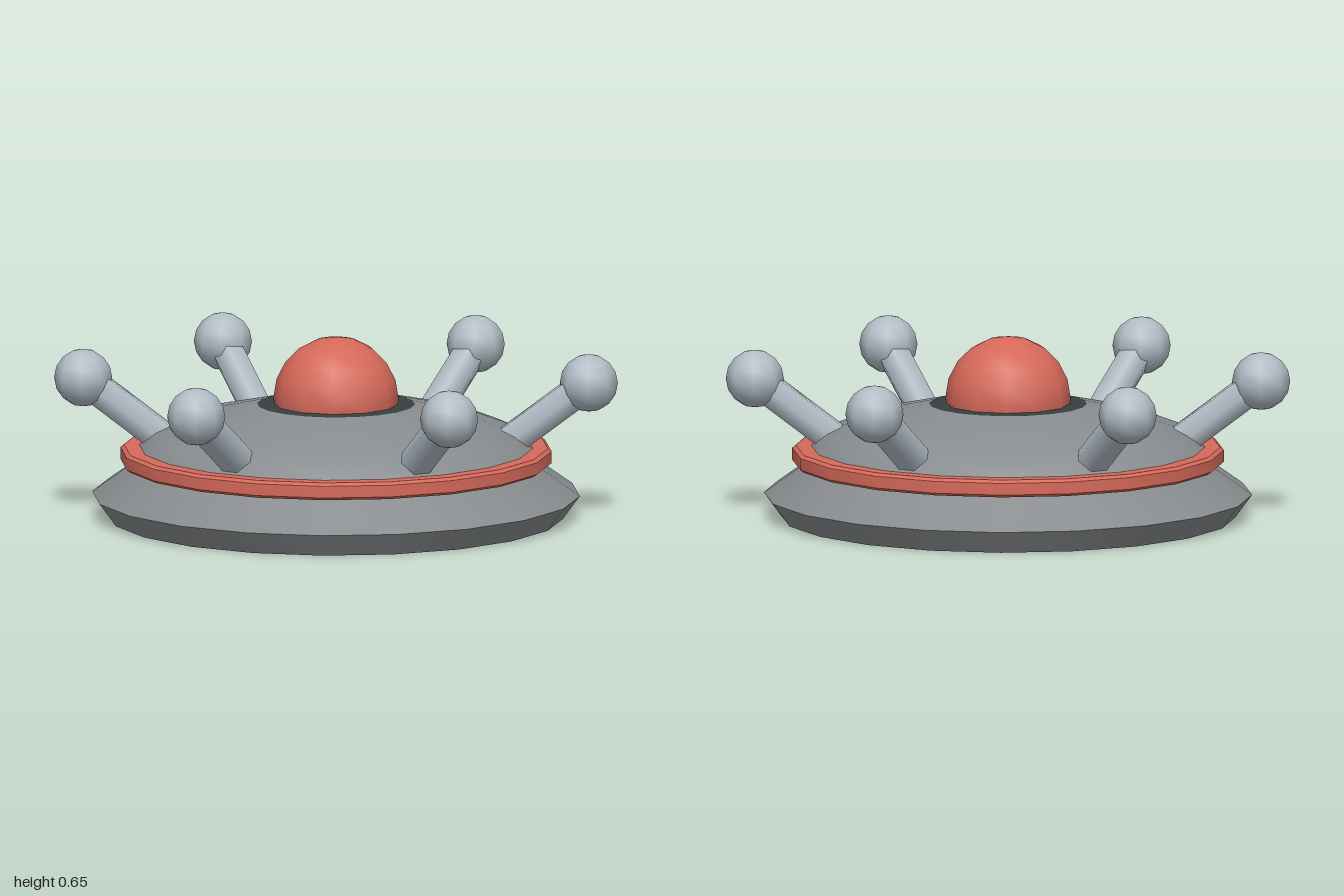
import * as THREE from 'three';
import { toCreasedNormals } from 'three/addons/utils/BufferGeometryUtils.js';

const material = (name, color) => {
  const m = new THREE.MeshStandardMaterial({ color });
  m.name = name;
  return m;
};

export function createModel() {
  const hullGrey = material('hull grey', 0x888c8e);
  const red = material('coral red', 0xd5695a);
  const silver = material('pale silver', 0xb0bcc5);
  const dark = material('dark slate', 0x363f3f);
  const SIDES = 20;
  const model = new THREE.Group();
  model.name = 'saucer';

  const add = (name, geometry, mat, parent = model) => {
    const mesh = new THREE.Mesh(geometry, mat);
    mesh.name = name;
    parent.add(mesh);
    return mesh;
  };
  // Turned part: smooth around, sharp where the profile bends strongly
  const turned = (points) => toCreasedNormals(
    new THREE.LatheGeometry(points.map(([r, y]) => new THREE.Vector2(r, y)), SIDES), 0.6);

  // Hull: lower bevel, sloping skirt and shallow upper dome
  add('hull', turned([
    [0.805, 0], [0.865, 0.082], [0.7, 0.2], [0.7, 0.25],
    [0.65, 0.3], [0.52, 0.35], [0.28, 0.405],
  ]), hullGrey);

  // Flat dark underside and the collar plate under the cockpit
  add('underside', new THREE.CircleGeometry(0.805, SIDES).rotateX(Math.PI / 2), dark);
  add('collar', new THREE.CircleGeometry(0.28, SIDES).rotateX(-Math.PI / 2), dark)
    .position.y = 0.405;

  // Trim band with bevelled outer edges
  add('trimBand', turned([
    [0.69, 0.19], [0.752, 0.19], [0.765, 0.2], [0.765, 0.242], [0.752, 0.252], [0.69, 0.252],
  ]), red);

  // Cockpit dome
  add('cockpit', new THREE.SphereGeometry(0.222, 12, 10), red).position.y = 0.424;

  // Six splayed struts, each carrying a ball
  const up = new THREE.Vector3(0, 1, 0);
  const foot = new THREE.Vector3(0.54, 0.22, 0);
  const tip = new THREE.Vector3(0.897, 0.49, 0);
  const along = tip.clone().sub(foot);
  const rodGeometry = new THREE.CylinderGeometry(0.062, 0.062, along.length(), 6);
  rodGeometry.rotateZ(-Math.atan2(along.x, along.y));
  rodGeometry.translate((foot.x + tip.x) / 2, (foot.y + tip.y) / 2, 0);
  const ballGeometry = new THREE.SphereGeometry(0.103, 8, 8);
  for (let i = 0; i < 6; i++) {
    const angle = (i * Math.PI) / 3;
    const strut = new THREE.Group();
    strut.name = 'strut' + (i + 1);
    model.add(strut);
    add('rod', rodGeometry, silver, strut).rotation.y = angle;
    add('ball', ballGeometry, silver, strut).position.copy(tip).applyAxisAngle(up, angle);
  }
  return model;
}
